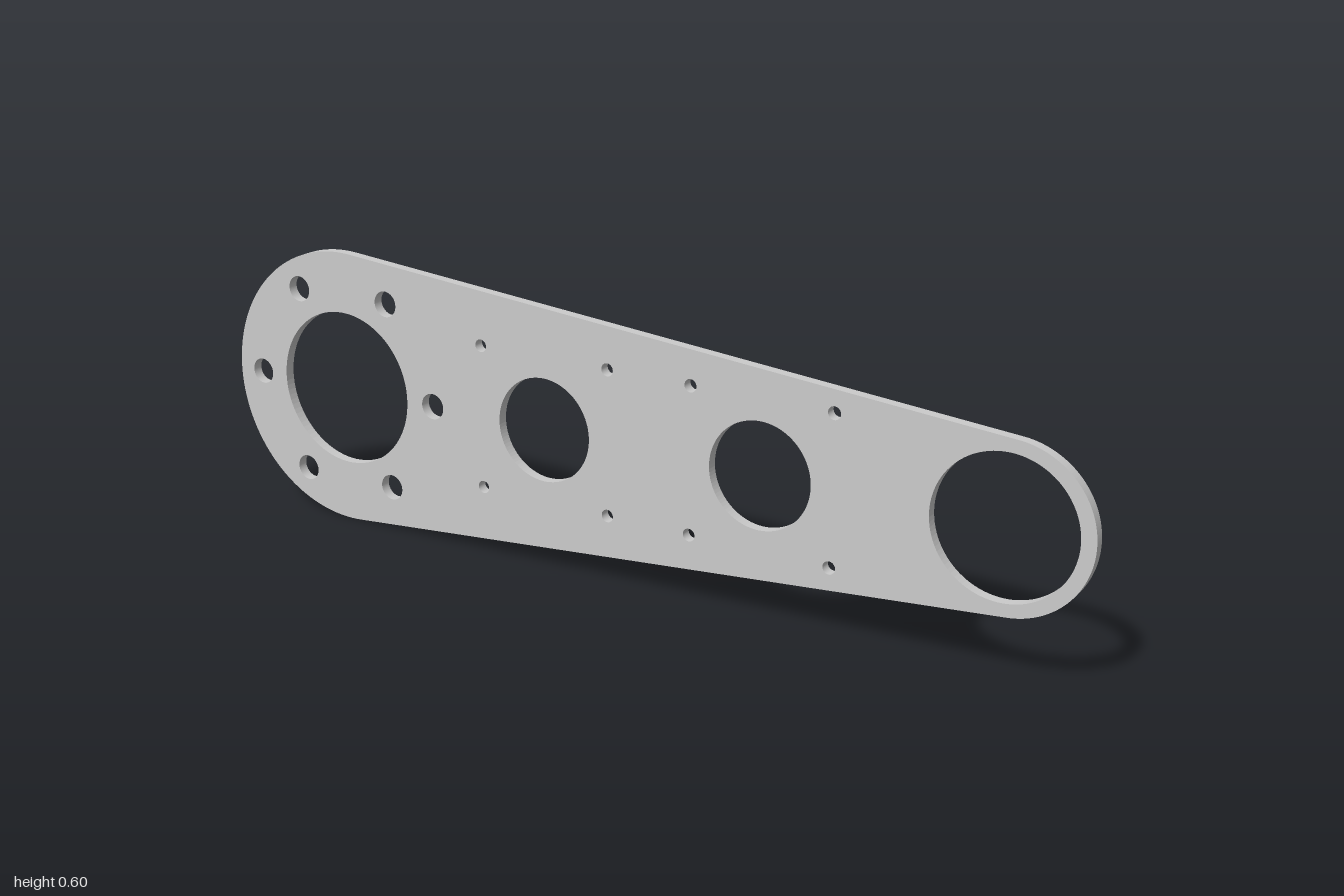
import * as THREE from 'three';

const THICKNESS = 0.023;
const MID_Y = 0.3025;
const BIG = { x: -0.6975, r: 0.3025 };
const SMALL = { x: 0.829, r: 0.171 };

export function createModel() {
  const group = new THREE.Group();
  group.name = 'taperedLinkPlate';

  // Outline: two round ends joined by their common tangents
  const a = Math.acos((BIG.r - SMALL.r) / (SMALL.x - BIG.x));
  const outline = new THREE.Shape();
  outline.absarc(BIG.x, 0, BIG.r, a, 2 * Math.PI - a, false);
  outline.absarc(SMALL.x, 0, SMALL.r, -a, a, false);
  outline.closePath();

  const addHole = (x, y, r) => {
    const hole = new THREE.Path();
    hole.absarc(x, y, r, 0, 2 * Math.PI, true);
    outline.holes.push(hole);
  };

  // Bores in the two ends
  addHole(BIG.x, 0, 0.17);
  addHole(0.826, 0, 0.1445);

  // Ring of six bolt holes around the large bore
  for (let i = 0; i < 6; i++) {
    const t = (i * Math.PI) / 3;
    addHole(BIG.x + 0.238 * Math.cos(t), 0.238 * Math.sin(t), 0.028);
  }

  // Two middle bores, each with four small screw holes
  for (const x of [-0.174, 0.328]) {
    addHole(x, 0, 0.111);
    for (const sx of [-1, 1])
      for (const sy of [-1, 1]) addHole(x + sx * 0.155, sy * 0.155, 0.0135);
  }

  const geometry = new THREE.ExtrudeGeometry(outline, {
    depth: THICKNESS,
    bevelEnabled: false,
    curveSegments: 48,
  });
  geometry.translate(0, MID_Y, -THICKNESS / 2);

  const plate = new THREE.Mesh(geometry, new THREE.MeshStandardMaterial({ color: 0xcccccc }));
  plate.name = 'plate';
  group.add(plate);
  return group;
}
